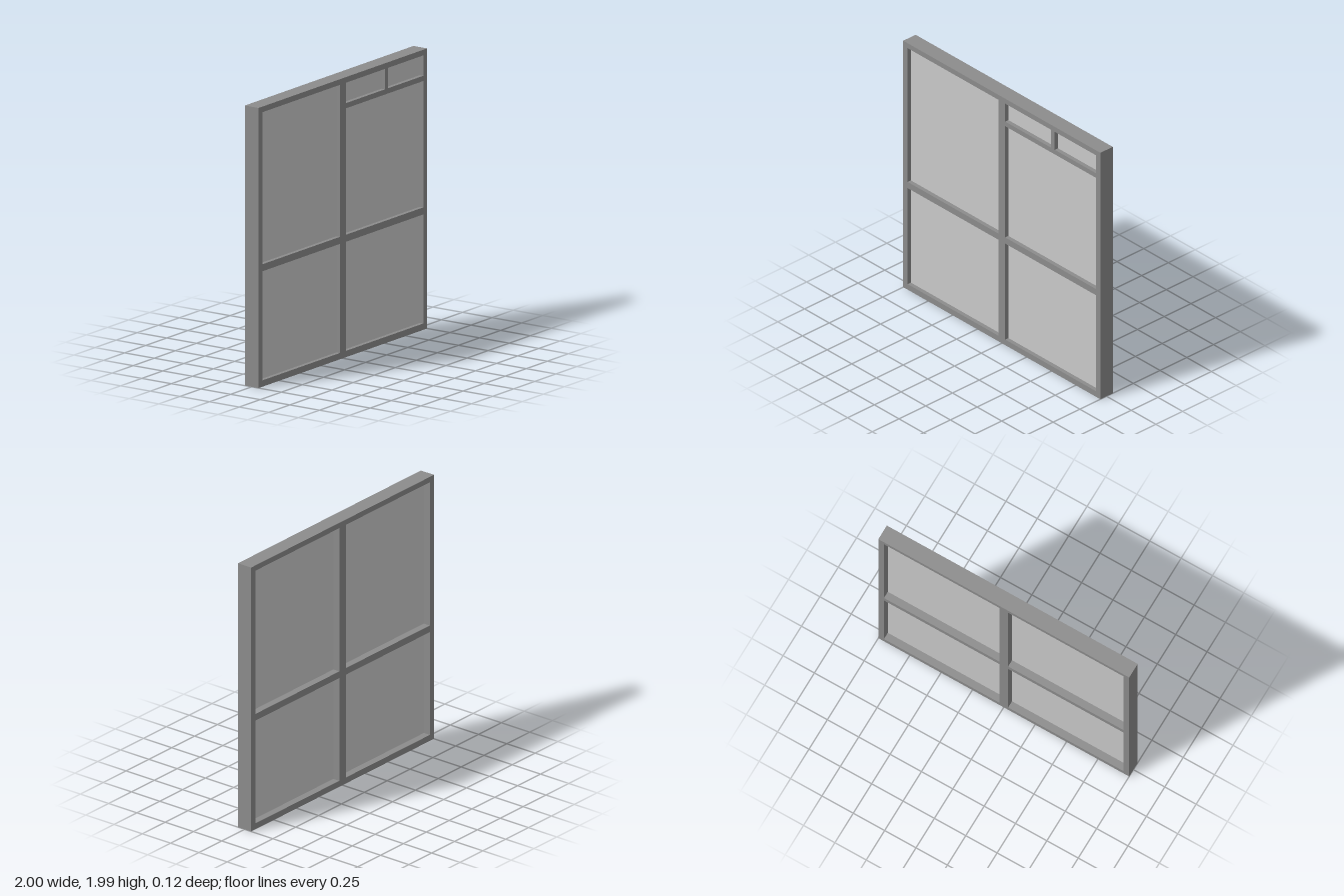
import * as THREE from 'three';

const HEIGHT = 1.99;
const HALF_DEPTH = 0.058;
const PANE_FRONT = 0.028;
const PANE_BACK = -0.005;

// Main openings: [left, bottom, right, top]
const OPENINGS = [
  [-0.955, 0.045, -0.035, 0.82],
  [0.035, 0.045, 0.955, 0.82],
  [-0.955, 0.87, -0.035, 1.95],
  [0.035, 0.87, 0.955, 1.95],
];

// Thin bars on the front of the upper opening on the model's left
const BARS = [
  [0.035, 1.768, 0.955, 1.805, 'transomBar'],
  [0.5, 1.805, 0.537, 1.95, 'ventDivider'],
];

function rectangle(target, [x0, y0, x1, y1]) {
  target.moveTo(x0, y0);
  target.lineTo(x1, y0);
  target.lineTo(x1, y1);
  target.lineTo(x0, y1);
  target.closePath();
  return target;
}

function block([x0, y0, x1, y1], z0, z1, material, name) {
  const mesh = new THREE.Mesh(new THREE.BoxGeometry(x1 - x0, y1 - y0, z1 - z0), material);
  mesh.position.set((x0 + x1) / 2, (y0 + y1) / 2, (z0 + z1) / 2);
  mesh.name = name;
  return mesh;
}

export function createModel() {
  const frameGrey = new THREE.MeshStandardMaterial({ color: 0x8c8c8c });
  frameGrey.name = 'frame grey';
  const paneGrey = new THREE.MeshStandardMaterial({ color: 0xcacaca });
  paneGrey.name = 'pane grey';

  const model = new THREE.Group();
  model.name = 'window';

  // Outer frame with mullion and middle rail in one piece
  const outline = rectangle(new THREE.Shape(), [-1, 0, 1, HEIGHT]);
  outline.holes = OPENINGS.map((o) => rectangle(new THREE.Path(), o));
  const geometry = new THREE.ExtrudeGeometry(outline, { depth: 2 * HALF_DEPTH, bevelEnabled: false });
  geometry.translate(0, 0, -HALF_DEPTH);
  const frame = new THREE.Mesh(geometry, frameGrey);
  frame.name = 'frame';
  model.add(frame);

  // Recessed panes, one per opening
  OPENINGS.forEach((o, i) => model.add(block(o, PANE_BACK, PANE_FRONT, paneGrey, `pane${i + 1}`)));

  // Front glazing bars, flush with the frame
  BARS.forEach((b) => model.add(block(b, PANE_FRONT, HALF_DEPTH, frameGrey, b[4])));

  return model;
}
